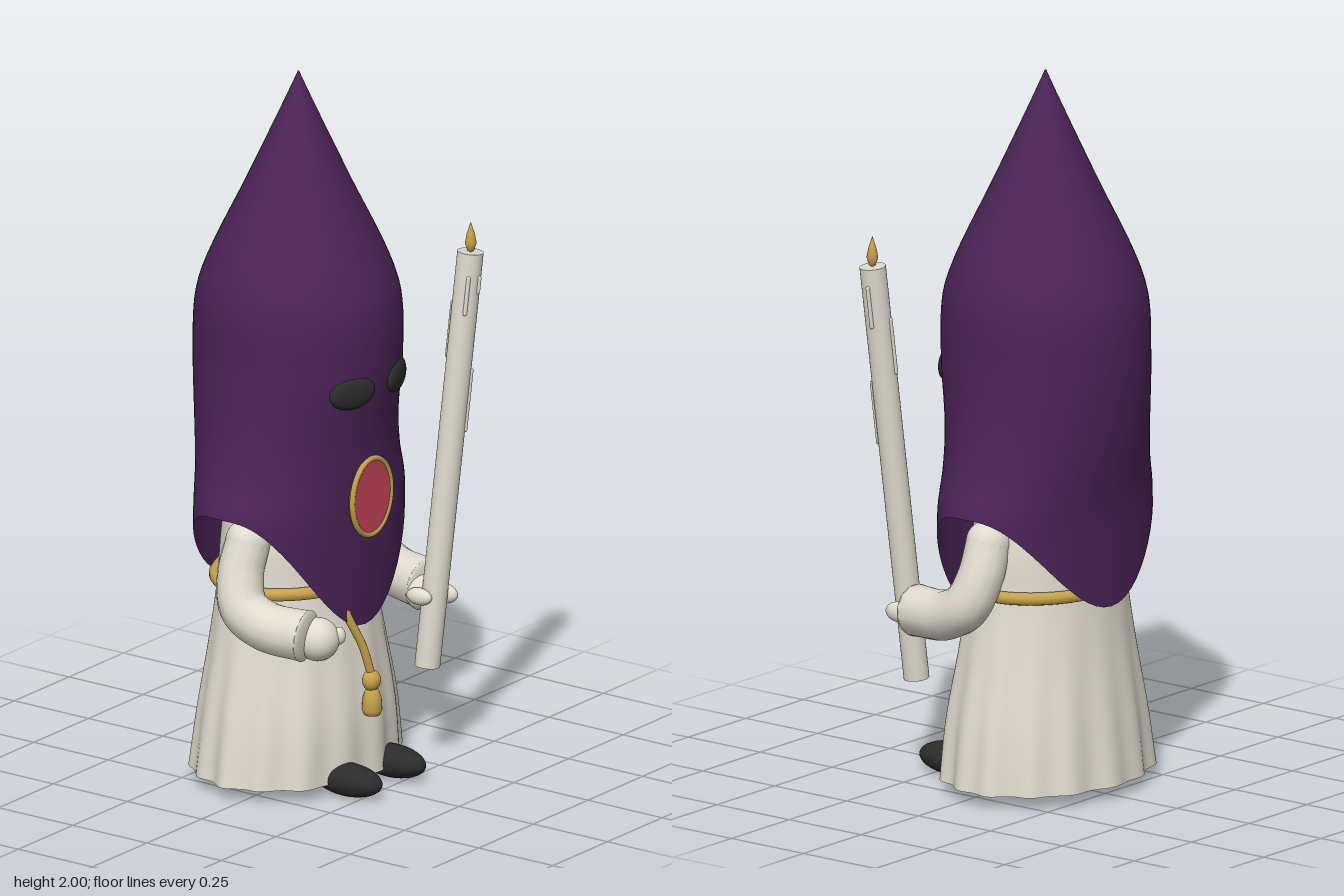
import * as THREE from 'three';
import { ParametricGeometry } from 'three/addons/geometries/ParametricGeometry.js';

const V = (x, y, z) => new THREE.Vector3(x, y, z);

function material(name, color, side = THREE.FrontSide) {
  const m = new THREE.MeshStandardMaterial({ color, side });
  m.name = name;
  return m;
}

// Smooth cross-section sizes by height: rows of [y, halfWidth, frontDepth, backDepth]
function profile(rows) {
  const c = new THREE.CubicInterpolant(rows.map(r => r[0]), rows.flatMap(r => r.slice(1)), 3);
  return y => [...c.evaluate(y)];
}

export function createModel() {
  const group = new THREE.Group();
  const purple = material('purple cloth', 0x4c2458, THREE.DoubleSide);
  const cream = material('cream cloth', 0xe0dbce, THREE.DoubleSide);
  const wax = material('wax', 0xded9cd);
  const gold = material('gold', 0xc4a24c);
  const black = material('black', 0x2b2c2b);
  const red = material('red', 0xc8455a);

  function add(name, geometry, mat, pos = [0, 0, 0], scale = [1, 1, 1], parent = group) {
    const m = new THREE.Mesh(geometry, mat);
    m.name = name;
    m.position.set(...pos);
    m.scale.set(...scale);
    parent.add(m);
    return m;
  }
  const ball = new THREE.SphereGeometry(1, 32, 20);

  // Pointed hood, hanging lower at the front and back than over the arms
  const hoodSize = profile([
    [0.45, 0.36, 0.225, 0.23], [0.65, 0.365, 0.235, 0.23], [0.81, 0.36, 0.24, 0.235],
    [0.9, 0.33, 0.242, 0.25], [1.0, 0.307, 0.25, 0.268], [1.2, 0.286, 0.283, 0.288],
    [1.37, 0.277, 0.281, 0.281], [1.44, 0.26, 0.26, 0.26], [1.7, 0.139, 0.139, 0.139],
    [1.95, 0.024, 0.024, 0.024], [2, 0.002, 0.002, 0.002]]);
  add('hood', new ParametricGeometry((u, v, p) => {
    const a = u * Math.PI * 2, c = Math.cos(a);
    const edge = 0.81 - (c > 0 ? 0.35 : 0.28) * Math.abs(c) ** 3;
    const y = v < 0.6 ? THREE.MathUtils.lerp(edge, 1.37, v / 0.6)
      : THREE.MathUtils.lerp(1.37, 2, (v - 0.6) / 0.4);
    const [w, f, b] = hoodSize(y);
    p.set(Math.sin(a) * w, y, -0.042 + c * (c > 0 ? f : b));
  }, 72, 50), purple);

  // Robe with folds that deepen towards the hem
  const robeSize = profile([
    [0.035, 0.33, 0.255, 0.255], [0.2, 0.308, 0.25, 0.237], [0.4, 0.27, 0.22, 0.212],
    [0.57, 0.243, 0.193, 0.195], [0.7, 0.235, 0.185, 0.185], [0.85, 0.2, 0.17, 0.17],
    [1.0, 0.12, 0.11, 0.11], [1.03, 0.004, 0.004, 0.004]]);
  add('robe', new ParametricGeometry((u, v, p) => {
    const a = u * Math.PI * 2, c = Math.cos(a), y = 0.035 + v * 0.995;
    const [w, f, b] = robeSize(y);
    const depth = 0.032 * Math.max(0, 1 - (y - 0.035) / 0.5);
    const k = 1 + depth * (Math.sin(15 * a) + 0.5 * Math.sin(8 * a + 1)) * 0.75;
    p.set(Math.sin(a) * w * k, y, -0.05 + c * (c > 0 ? f : b) * k);
  }, 150, 40), cream);

  // Rope belt, hanging cord and tassel
  const beltPath = new THREE.CatmullRomCurve3(Array.from({ length: 24 }, (_, i) => {
    const a = i / 24 * Math.PI * 2;
    return V(Math.sin(a) * 0.25, 0.575, -0.05 + Math.cos(a) * 0.2);
  }), true);
  add('belt', new THREE.TubeGeometry(beltPath, 72, 0.018, 10, true), gold);
  const cordPath = new THREE.CatmullRomCurve3([
    V(-0.085, 0.575, 0.15), V(-0.07, 0.5, 0.175), V(-0.035, 0.41, 0.2), V(-0.014, 0.33, 0.212)]);
  add('cord', new THREE.TubeGeometry(cordPath, 24, 0.012, 10), gold);
  add('tasselKnot', ball, gold, [-0.013, 0.308, 0.214], [0.027, 0.03, 0.025]);
  add('tassel', new THREE.LatheGeometry([[0, 0], [0.022, 0.003], [0.028, 0.018], [0.026, 0.05],
    [0.018, 0.075], [0, 0.085]].map(q => new THREE.Vector2(...q)), 20), gold, [-0.013, 0.208, 0.216]);

  // Eyes and shoes
  for (const s of [-1, 1]) {
    const side = s > 0 ? 'left' : 'right';
    const eye = add(side + 'Eye', ball, black, [s * 0.1, 1.155, 0.213], [0.073, 0.047, 0.021]);
    eye.rotation.y = s * 0.36;
    add(side + 'Shoe', ball, black, [s * 0.1, 0.045, 0.2], [0.055, 0.045, 0.108]);
  }

  // Oval medallion with a gold rim
  const disc = add('medallion', new THREE.CylinderGeometry(1, 1, 0.02, 48), red,
    [0, 0.83, 0.198], [0.086, 1, 0.106]);
  disc.rotation.x = Math.PI / 2;
  const rimPath = new THREE.CatmullRomCurve3(Array.from({ length: 20 }, (_, i) => {
    const a = i / 20 * Math.PI * 2;
    return V(Math.cos(a) * 0.088, 0.83 + Math.sin(a) * 0.108, 0.205);
  }), true);
  add('medallionRim', new THREE.TubeGeometry(rimPath, 60, 0.008, 8, true), gold);

  // Sleeves: tubes widening towards the cuff, closed at both ends
  for (const s of [-1, 1]) {
    const side = s > 0 ? 'left' : 'right';
    const path = new THREE.CatmullRomCurve3([
      V(s * 0.24, 0.72, -0.035), V(s * 0.275, 0.63, -0.035), V(s * 0.3, 0.55, -0.005),
      V(s * 0.295, 0.51, 0.07), V(s * 0.275, 0.5, 0.185)]);
    const n = 32, r = 14, geo = new THREE.TubeGeometry(path, n, 1, r);
    const pos = geo.attributes.position, q = V();
    for (let i = 0; i <= n; i++) {
      const c = path.getPointAt(i / n), size = 0.062 + 0.01 * i / n;
      for (let j = 0; j <= r; j++) {
        const k = i * (r + 1) + j;
        q.fromBufferAttribute(pos, k).sub(c).multiplyScalar(size).add(c);
        pos.setXYZ(k, q.x, q.y, q.z);
      }
    }
    add(side + 'Sleeve', geo, cream);
    add(side + 'Shoulder', ball, cream, [s * 0.24, 0.72, -0.035], [0.062, 0.062, 0.062]);
    const cuff = add(side + 'Cuff', ball, cream, path.getPointAt(1).toArray(), [0.072, 0.072, 0.012]);
    cuff.lookAt(path.getPointAt(1).add(path.getTangentAt(1)));
  }

  // Hands: a closed fist, and one gripping the candle
  add('rightHand', ball, cream, [-0.24, 0.485, 0.2], [0.06, 0.06, 0.06]);
  add('rightThumb', ball, cream, [-0.206, 0.495, 0.247], [0.018, 0.025, 0.018]);
  add('leftHand', ball, cream, [0.25, 0.485, 0.195], [0.055, 0.05, 0.045]);
  add('leftThumb', ball, cream, [0.197, 0.492, 0.22], [0.021, 0.024, 0.04]);
  add('leftFingers', ball, cream, [0.278, 0.485, 0.245], [0.022, 0.028, 0.043]);

  // Leaning candle with drips and a flame
  const base = V(0.218, 0.29, 0.232), top = V(0.33, 1.46, 0.295);
  const length = base.distanceTo(top);
  const candle = new THREE.Group();
  candle.name = 'candle';
  candle.position.copy(base);
  candle.quaternion.setFromUnitVectors(V(0, 1, 0), top.clone().sub(base).normalize());
  group.add(candle);
  add('candleStick', new THREE.CylinderGeometry(0.036, 0.035, length, 28), wax,
    [0, length / 2, 0], [1, 1, 1], candle);
  for (const [angle, y, len] of [[0.5, 0.76, 0.17], [-0.9, 1.06, 0.1], [1.7, 1.07, 0.11], [3.4, 0.95, 0.15], [0.1, 1.09, 0.04]]) {
    add('waxDrip', new THREE.CapsuleGeometry(0.006, len, 4, 10), wax,
      [Math.sin(angle) * 0.036, y, Math.cos(angle) * 0.036], [1, 1, 1], candle);
  }
  add('flame', new THREE.LatheGeometry([[0, 0], [0.01, 0.008], [0.016, 0.028], [0.011, 0.055], [0, 0.088]]
    .map(p => new THREE.Vector2(...p)), 20), gold, [0.33, 1.457, 0.296]);

  return group;
}
